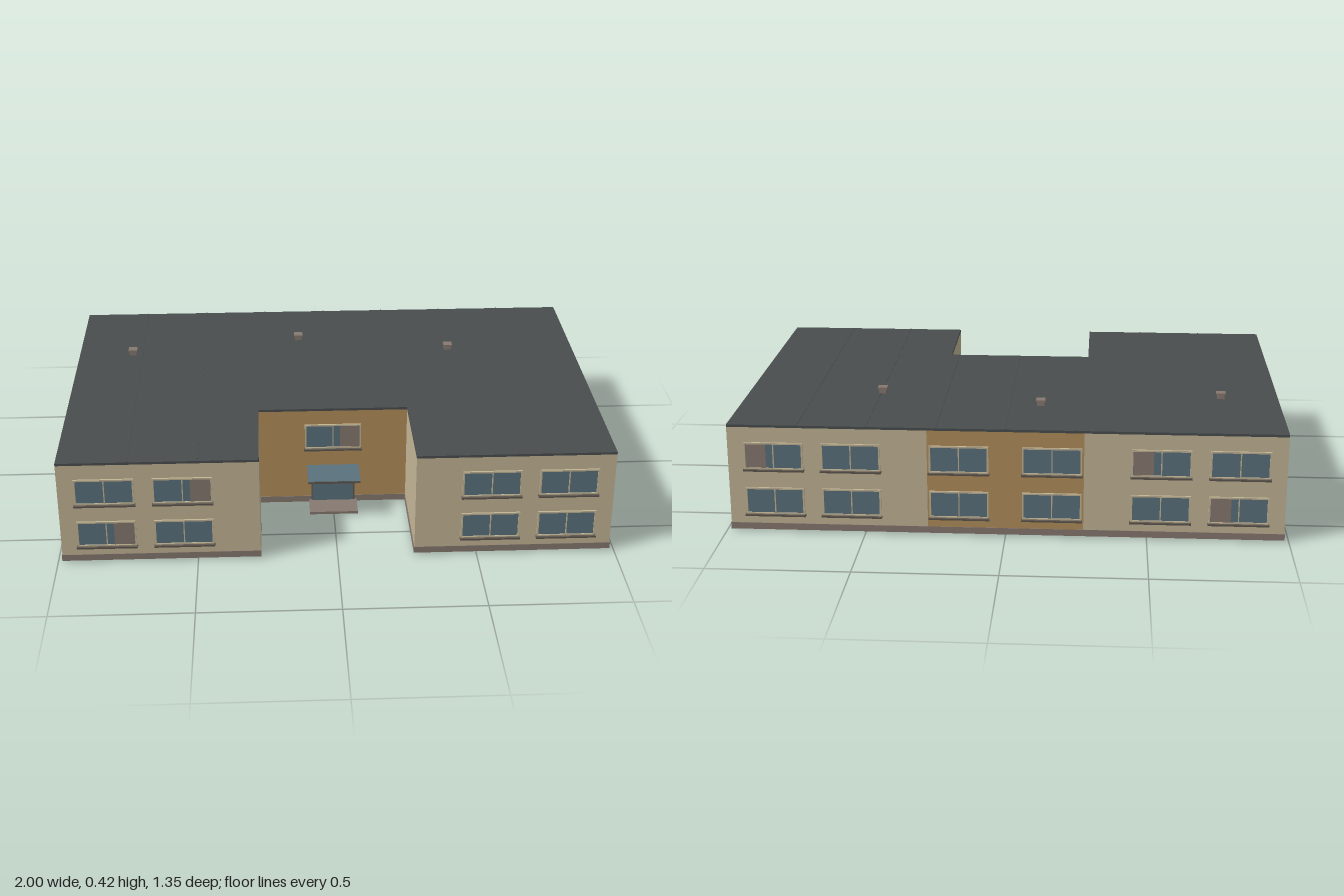
import * as THREE from 'three';

const mat = (name, color) => {
  const m = new THREE.MeshStandardMaterial({ color });
  m.name = name;
  return m;
};

export function createModel() {
  const cream = mat('cream render', 0xc3b697);
  const ochre = mat('ochre render', 0xb38f5b);
  const plinthMat = mat('taupe', 0x877970);
  const roofMat = mat('roof grey', 0x4a4d4e);
  const glassMat = mat('blue glass', 0x5a717d);
  const sillMat = mat('dark sill', 0x5e564e);

  const model = new THREE.Group();
  model.name = 'building';

  // Box given by its two opposite corners
  const box = (parent, name, material, x0, x1, y0, y1, z0, z1) => {
    const mesh = new THREE.Mesh(new THREE.BoxGeometry(x1 - x0, y1 - y0, z1 - z0), material);
    mesh.position.set((x0 + x1) / 2, (y0 + y1) / 2, (z0 + z1) / 2);
    mesh.name = name;
    parent.add(mesh);
    return mesh;
  };

  const X = 0.983, Z = 0.656, C = 0.276, ZC = 0.27;
  const Y0 = 0.006, YP = 0.03, Y1 = 0.39, P = 0.002;

  // Walls: two wings joined by a recessed centre
  for (const s of [-1, 1]) {
    const a = s < 0 ? -X : C, b = s < 0 ? -C : X;
    box(model, 'wingWall', cream, a, b, YP, Y1, -Z, Z);
    box(model, 'wingPlinth', plinthMat, a - P, b + P, Y0, YP, -Z - P, Z + P);
  }
  box(model, 'centreWall', ochre, -C, C, Y0, Y1, -Z, ZC);
  box(model, 'centrePlinthFront', plinthMat, -C, C, Y0, YP, ZC, ZC + P);
  box(model, 'centrePlinthBack', plinthMat, -C, C, Y0, YP, -Z - P, -Z);

  // U-shaped flat roof
  const outline = [[-X, Z], [-C, Z], [-C, ZC], [C, ZC], [C, Z], [X, Z], [X, -Z], [-X, -Z]];
  const roofShape = new THREE.Shape(outline.map(([x, z]) => new THREE.Vector2(x, -z)));
  const roofGeo = new THREE.ExtrudeGeometry(roofShape, { depth: 0.009, bevelEnabled: false });
  roofGeo.rotateX(-Math.PI / 2);
  const roof = new THREE.Mesh(roofGeo, roofMat);
  roof.name = 'roof';
  roof.position.y = Y1;
  model.add(roof);

  // Low seams across the roof
  for (let i = -3; i <= 3; i++) {
    const x = i * 0.245;
    const front = Math.abs(x) < C ? ZC : Z;
    box(model, 'roofSeam', roofMat, x - 0.002, x + 0.002, 0.398, 0.4005, -Z, front);
  }

  // Roof vents with a slightly wider cap
  for (const [x, z] of [[-0.772, -0.25], [-0.112, -0.37], [0.484, -0.25]]) {
    box(model, 'ventShaft', plinthMat, x - 0.013, x + 0.013, 0.395, 0.416, z - 0.013, z + 0.013);
    box(model, 'ventCap', plinthMat, x - 0.017, x + 0.017, 0.416, 0.422, z - 0.017, z + 0.017);
  }

  // Flat frame with one hole per pane, standing off the wall
  const rect = (path, x0, x1, y0, y1) =>
    path.moveTo(x0, y0).lineTo(x1, y0).lineTo(x1, y1).lineTo(x0, y1).closePath();
  const frameShape = rect(new THREE.Shape(), -0.105, 0.105, -0.05, 0.05);
  for (const [a, b] of [[-0.099, -0.002], [0.002, 0.099]])
    frameShape.holes.push(rect(new THREE.Path(), a, b, -0.044, 0.044));
  const frameGeo = new THREE.ExtrudeGeometry(frameShape, { depth: 0.007, bevelEnabled: false });

  // Window facing +z with its back on the wall; a blind may cover part of one pane
  const addWindow = (x, y, z, turn, blind) => {
    const g = new THREE.Group();
    g.name = 'window';
    const frame = new THREE.Mesh(frameGeo, cream);
    frame.name = 'windowFrame';
    g.add(frame);
    box(g, 'windowGlass', glassMat, -0.1, 0.1, -0.045, 0.045, 0, 0.003);
    if (blind) {
      const [a, b] = blind > 0 ? [0.027, 0.098] : [-0.098, -0.027];
      box(g, 'windowBlind', plinthMat, a, b, -0.044, 0.044, 0.002, 0.0045);
    }
    box(g, 'windowSill', sillMat, -0.108, 0.108, -0.055, -0.049, 0, 0.017);
    g.position.set(x, y, z);
    g.rotation.y = turn;
    model.add(g);
  };

  // Rows of windows; blinds are listed as row + column
  const rows = [0.116, 0.285];
  const columns = [-0.82, -0.546, -0.164, 0.164, 0.546, 0.82];
  const frontBlinds = ['0,0', '1,1'], backBlinds = ['1,5', '1,1', '0,0'];
  const sideBlinds = ['0,2', '1,1'];
  rows.forEach((y, r) => {
    columns.forEach((x, c) => {
      const key = r + ',' + c;
      if (Math.abs(x) > C) addWindow(x, y, Z, 0, frontBlinds.includes(key) ? 1 : 0);
      addWindow(x, y, -Z, Math.PI, backBlinds.includes(key) ? -1 : 0);
    });
    [-0.384, 0, 0.384].forEach((z, c) => {
      addWindow(X, y, z, Math.PI / 2, sideBlinds.includes(r + ',' + c) ? 1 : 0);
      addWindow(-X, y, z, -Math.PI / 2, 0);
    });
  });
  addWindow(0, rows[1], ZC, 0, 1);

  // Entrance: door, canopy and step
  box(model, 'doorFrame', sillMat, -0.082, 0.082, 0, 0.147, ZC - 0.005, ZC + 0.007);
  box(model, 'doorGlass', glassMat, -0.077, 0.077, 0.016, 0.142, ZC, ZC + 0.01);
  box(model, 'canopy', glassMat, -0.097, 0.097, 0.154, 0.163, ZC, 0.4);
  box(model, 'canopyEdge', sillMat, -0.097, 0.097, 0.154, 0.162, 0.4, 0.402);
  box(model, 'step', plinthMat, -0.09, 0.09, 0.006, 0.016, ZC, 0.37);

  return model;
}
